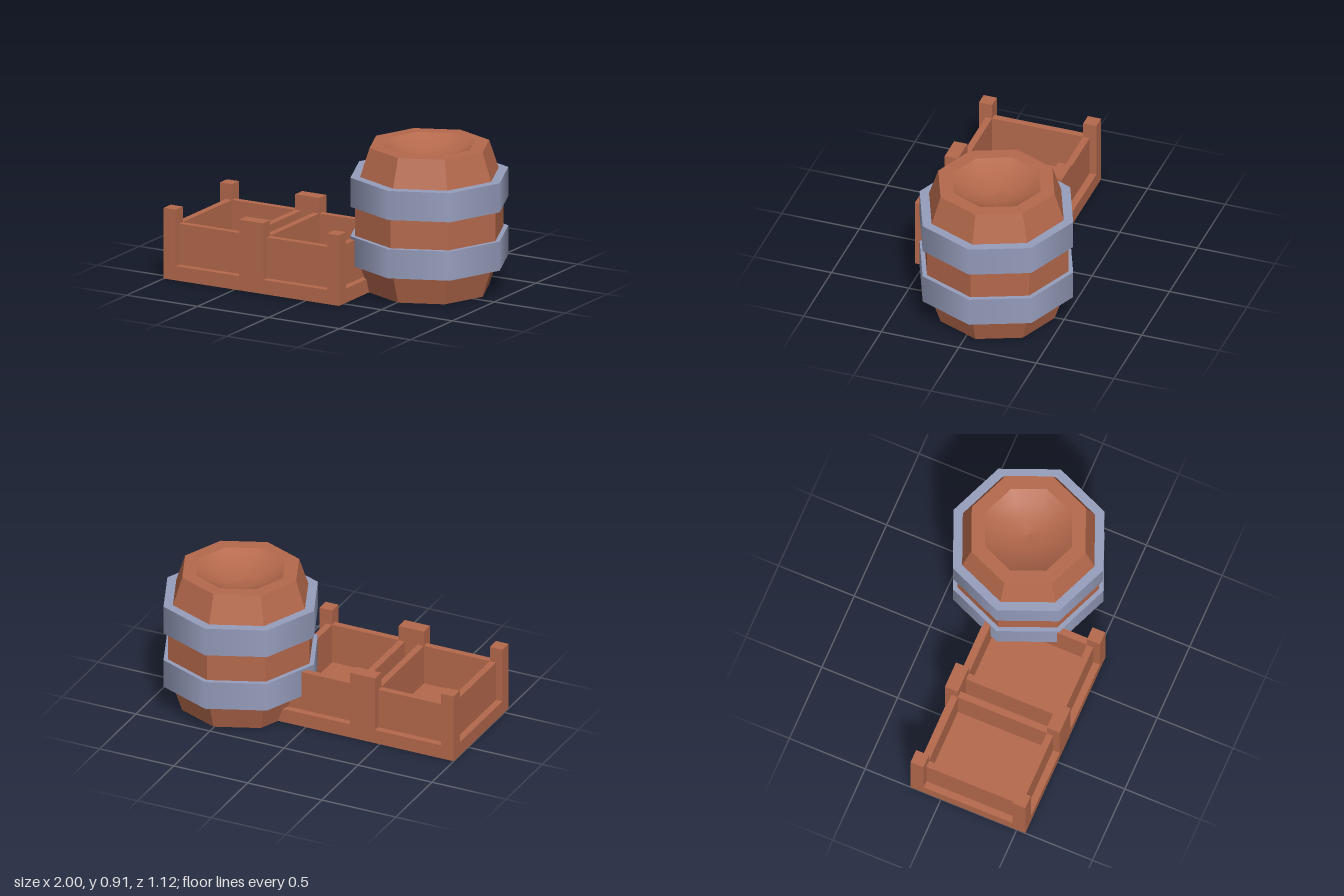
import * as THREE from 'three';

export function createModel() {
  const model = new THREE.Group();
  const wood = new THREE.MeshStandardMaterial({ color: 0xb5694c });
  wood.name = 'wood';
  const metal = new THREE.MeshStandardMaterial({ color: 0x979ebd });
  metal.name = 'metal';

  const add = (parent, name, geometry, material) => {
    const mesh = new THREE.Mesh(geometry, material);
    mesh.name = name;
    parent.add(mesh);
    return mesh;
  };

  // Eight-sided surface turned from [radius, height] pairs, corners on the axes
  const lathe = (points) =>
    new THREE.LatheGeometry(points.map(([r, y]) => new THREE.Vector2(r, y)), 8);

  // Barrel
  const barrel = new THREE.Group();
  barrel.name = 'barrel';
  barrel.position.set(0.505, 0, -0.065);
  model.add(barrel);

  // Faceted staves with a flat rim
  const staves = lathe([
    [0, 0], [0.375, 0], [0.465, 0.27], [0.465, 0.64], [0.375, 0.91], [0.285, 0.91],
  ]).toNonIndexed();
  staves.computeVertexNormals();
  add(barrel, 'staves', staves, wood);

  // Smooth sunken lid
  add(barrel, 'lid', lathe([[0.285, 0.91], [0.2, 0.863], [0.1, 0.835], [0, 0.825]]), wood);

  // Hoops
  for (const [name, y] of [['lowerHoop', 0.2725], ['upperHoop', 0.64]]) {
    add(barrel, name, new THREE.CylinderGeometry(0.495, 0.495, 0.183, 8), metal)
      .position.y = y;
  }

  // Double crate
  const crate = new THREE.Group();
  crate.name = 'crate';
  model.add(crate);

  // Box between two corners
  const block = (name, x0, x1, y0, y1, z0, z1) =>
    add(crate, name, new THREE.BoxGeometry(x1 - x0, y1 - y0, z1 - z0), wood)
      .position.set((x0 + x1) / 2, (y0 + y1) / 2, (z0 + z1) / 2);

  const [back, front, floor, wallTop, postTop] = [-0.2, 0.557, 0.09, 0.347, 0.445];
  const post = 0.085, wall = 0.042;
  block('crateBase', -1, 0.235, 0, floor, back, front);

  // Posts along both long sides
  for (const [x0, x1] of [[-1, -0.915], [-0.47, -0.3], [0.15, 0.235]]) {
    block('backPost', x0, x1, floor, postTop, back, back + post);
    block('frontPost', x0, x1, floor, postTop, front - post, front);
  }

  // Thin recessed walls around each of the two bins
  for (const [x0, x1] of [[-0.915, -0.47], [-0.3, 0.15]]) {
    block('backWall', x0, x1, floor, wallTop, back + post - wall, back + post);
    block('frontWall', x0, x1, floor, wallTop, front - post, front - post + wall);
    block('rightWall', x0 - wall, x0, floor, wallTop, back + post, front - post);
    block('leftWall', x1, x1 + wall, floor, wallTop, back + post, front - post);
  }

  return model;
}
